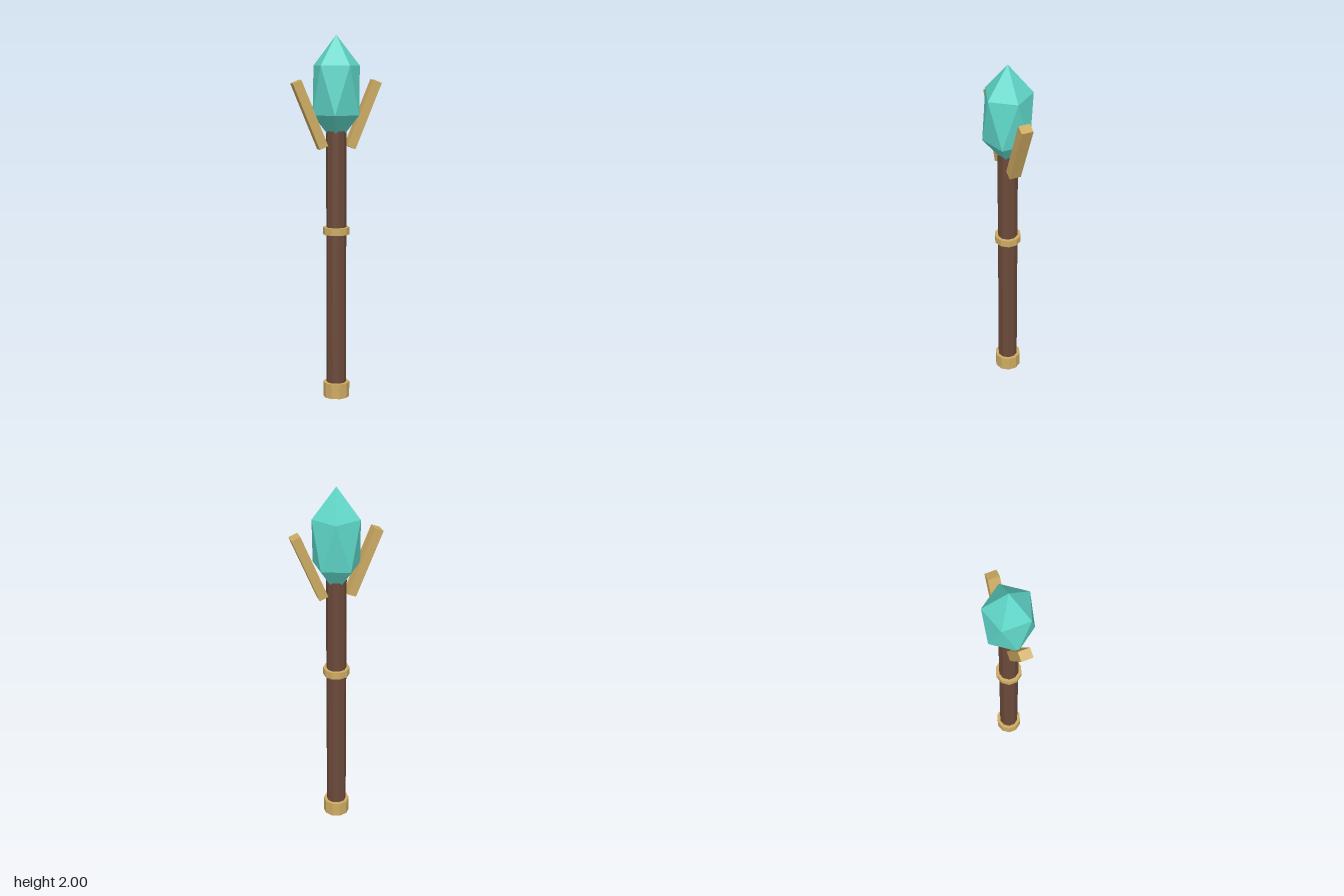
import * as THREE from 'three';
import { ConvexGeometry } from 'three/addons/geometries/ConvexGeometry.js';

const material = (color) => new THREE.MeshStandardMaterial({ color, flatShading: true });

export function createModel() {
  const model = new THREE.Group();
  model.name = 'staff';
  const wood = material(0x6b4a3a);
  const gold = material(0xcdab62);
  const gem = material(0x5fd6c8);

  const add = (name, geometry, mat, x, y) => {
    const mesh = new THREE.Mesh(geometry, mat);
    mesh.name = name;
    mesh.position.set(x, y, 0);
    model.add(mesh);
    return mesh;
  };

  // Ten-sided upright cylinder between two heights
  const post = (name, radius, y0, y1, mat) =>
    add(name, new THREE.CylinderGeometry(radius, radius, y1 - y0, 10), mat, 0, (y0 + y1) / 2);

  post('shaft', 0.055, 0.04, 1.487, wood);
  post('pommel', 0.073, 0, 0.084, gold);
  post('collar', 0.073, 0.92, 0.96, gold);

  // Crystal: two staggered five-point rings between a top and a bottom tip
  const points = [new THREE.Vector3(0, 0.295, 0), new THREE.Vector3(0, -0.295, 0)];
  for (let i = 0; i < 5; i++) {
    const a = (i * Math.PI * 2) / 5;
    const p = new THREE.Vector3(0.132 * Math.cos(a), 0.132, 0.132 * Math.sin(a));
    points.push(p, p.clone().negate());
  }
  add('crystal', new ConvexGeometry(points), gem, 0, 1.705);

  // Prongs leaning outward on both sides of the crystal
  for (const side of [1, -1]) {
    const name = side > 0 ? 'leftProng' : 'rightProng';
    const prong = add(name, new THREE.BoxGeometry(0.051, 0.385, 0.063), gold, side * 0.15, 1.575);
    prong.rotation.z = -side * 0.394;
  }

  return model;
}
